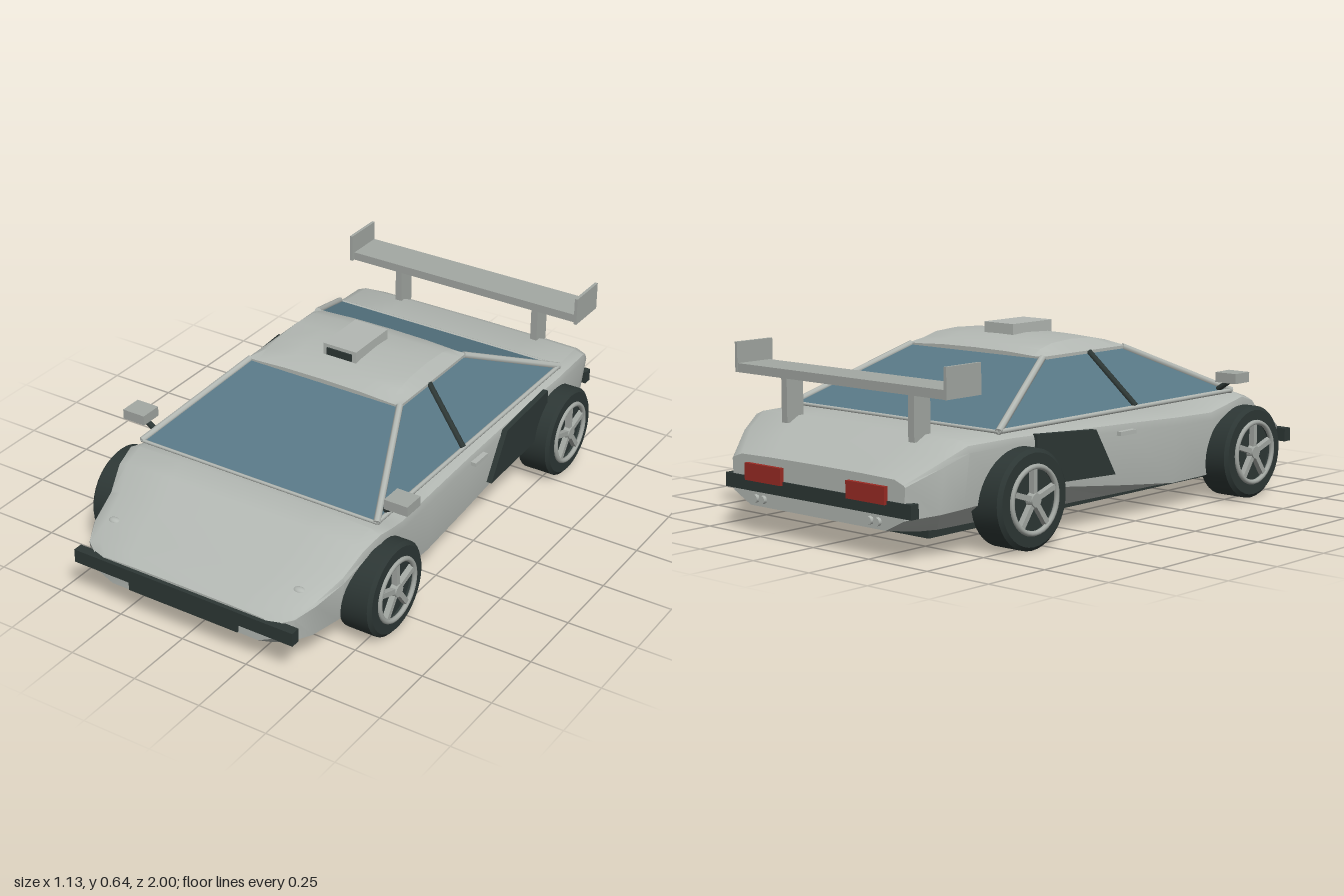
import * as THREE from 'three';
import { toCreasedNormals } from 'three/addons/utils/BufferGeometryUtils.js';
import { ConvexGeometry } from 'three/addons/geometries/ConvexGeometry.js';

const material = (name, color) => {
  const m = new THREE.MeshStandardMaterial({ color });
  m.name = name;
  return m;
};
const V = (x, y, z) => new THREE.Vector3(x, y, z);

// Closed skin over half cross-sections [[x, y]...] (bottom centre to top centre), front to back
function loft(sections) {
  const pos = [];
  const rings = sections.map(({ z, half }) => [
    ...half.map(([x, y]) => [x, y, z]),
    ...half.slice(1, -1).reverse().map(([x, y]) => [-x, y, z]),
  ]);
  const n = rings[0].length;
  for (let i = 0; i < rings.length - 1; i++) {
    for (let j = 0; j < n; j++) {
      const k = (j + 1) % n;
      const a = rings[i][j], b = rings[i][k], c = rings[i + 1][j], d = rings[i + 1][k];
      pos.push(...a, ...c, ...b, ...b, ...c, ...d);
    }
  }
  const cap = (ring, back) => {
    const mid = [0, (ring[0][1] + ring[n / 2][1]) / 2, ring[0][2]];
    for (let j = 0; j < n; j++) {
      const a = ring[j], b = ring[(j + 1) % n];
      pos.push(...mid, ...(back ? b : a), ...(back ? a : b));
    }
  };
  cap(rings[0], false);
  cap(rings[rings.length - 1], true);
  const g = new THREE.BufferGeometry();
  g.setAttribute('position', new THREE.Float32BufferAttribute(pos, 3));
  return toCreasedNormals(g, 0.6);
}

export function createModel() {
  const car = new THREE.Group();
  car.name = 'car';
  const paint = material('silverPaint', 0xb3b8b3);
  const trim = material('greyTrim', 0xa3a8a3);
  const glass = material('tintedGlass', 0x587886);
  const black = material('blackTrim', 0x2d3735);
  const red = material('tailRed', 0x9a2b24);

  const add = (name, geometry, mat, parent = car) => {
    const m = new THREE.Mesh(geometry, mat);
    m.name = name;
    parent.add(m);
    return m;
  };
  // Box given by its minimum and maximum corners
  const box = (name, mat, [x0, y0, z0], [x1, y1, z1], parent) => {
    const m = add(name, new THREE.BoxGeometry(x1 - x0, y1 - y0, z1 - z0), mat, parent);
    m.position.set((x0 + x1) / 2, (y0 + y1) / 2, (z0 + z1) / 2);
    return m;
  };
  // Round bar between two points
  const bar = (name, mat, a, b, r) => {
    const m = add(name, new THREE.CylinderGeometry(r, r, a.distanceTo(b), 8), mat);
    m.position.copy(a).lerp(b, 0.5);
    m.quaternion.setFromUnitVectors(V(0, 1, 0), b.clone().sub(a).normalize());
    return m;
  };
  const blob = (name, mat, p, r) => {
    const m = add(name, new THREE.SphereGeometry(1, 16, 10), mat);
    m.position.set(...p);
    m.scale.set(...r);
  };

  // Body: z, top, crease height, bottom, then half widths of top, shoulder, crease, bottom
  const stations = [
    [0.985, 0.195, 0.13, 0.10, 0.31, 0.35, 0.35, 0.29],
    [0.95, 0.218, 0.12, 0.083, 0.36, 0.405, 0.40, 0.32],
    [0.88, 0.25, 0.11, 0.074, 0.39, 0.44, 0.425, 0.33],
    [0.76, 0.287, 0.10, 0.072, 0.42, 0.467, 0.44, 0.34],
    [0.68, 0.348, 0.10, 0.072, 0.45, 0.49, 0.445, 0.35],
    [0.60, 0.371, 0.10, 0.072, 0.46, 0.503, 0.45, 0.36],
    [0.52, 0.352, 0.095, 0.072, 0.46, 0.498, 0.455, 0.37],
    [0.44, 0.331, 0.09, 0.072, 0.45, 0.487, 0.46, 0.38],
    [0.25, 0.335, 0.09, 0.072, 0.45, 0.482, 0.465, 0.39],
    [0.00, 0.346, 0.118, 0.072, 0.45, 0.482, 0.468, 0.38],
    [-0.38, 0.362, 0.165, 0.072, 0.455, 0.487, 0.47, 0.36],
    [-0.60, 0.372, 0.165, 0.072, 0.46, 0.497, 0.475, 0.35],
    [-0.80, 0.371, 0.155, 0.075, 0.45, 0.49, 0.465, 0.35],
    [-0.88, 0.33, 0.145, 0.08, 0.42, 0.46, 0.44, 0.34],
    [-0.985, 0.262, 0.135, 0.095, 0.35, 0.395, 0.39, 0.31],
  ];
  add('body', loft(stations.map(([z, top, crease, bottom, wt, ws, wc, wb]) => ({
    z,
    half: [
      [0, bottom], [wb, bottom], [wc, crease],
      [ws, crease + (top - crease) * 0.82], [ws - 0.006, top - 0.017],
      [wt, top - 0.003], [wt * 0.6, top], [0, top + 0.001],
    ],
  }))), paint);
  box('floorPan', black, [-0.342, 0.05, -0.83], [0.342, 0.08, 0.85]);

  // Cabin: glass block, pillars and sills
  const base = { f: [0.468, 0.377, 0.575], r: [0.468, 0.377, -0.645] };
  const top = { f: [0.3, 0.556, 0.17], r: [0.3, 0.556, -0.245] };
  const corner = ([x, y, z], s) => V(x * s, y, z);
  const corners = [];
  for (const s of [-1, 1]) {
    for (const p of [base.f, base.r, top.f, top.r]) corners.push(corner(p, s));
    bar('frontPillar', paint, corner(base.f, s), corner(top.f, s), 0.012);
    bar('rearPillar', paint, corner(base.r, s), corner(top.r, s), 0.012);
    bar('sideSill', paint, corner(base.f, s), corner(base.r, s), 0.008);
    bar('doorPillar', black, V(0.468 * s, 0.382, 0.035), V(0.302 * s, 0.556, -0.012), 0.011);
  }
  add('windows', new ConvexGeometry(corners), glass);
  for (const p of [base.f, base.r]) bar('endSill', paint, corner(p, -1), corner(p, 1), 0.006);

  // Crowned roof with scoop
  const roof = [[0.178, 0.566], [0.12, 0.588], [0.05, 0.601], [-0.06, 0.606], [-0.16, 0.6], [-0.22, 0.584], [-0.252, 0.566]];
  add('roof', loft(roof.map(([z, y]) => ({
    z,
    half: [[0, 0.548], [0.306, 0.548], [0.306, 0.56], [0.265, y - 0.006], [0.15, y], [0, y + 0.002]],
  }))), paint);
  box('roofScoop', paint, [-0.066, 0.59, -0.128], [0.066, 0.64, 0.072]);
  box('scoopIntake', black, [-0.05, 0.602, 0.07], [0.05, 0.628, 0.077]);

  // Bumpers
  box('frontBumper', black, [-0.43, 0.14, 0.965], [0.43, 0.188, 1.0]);
  box('frontGrille', black, [-0.215, 0.105, 0.95], [0.215, 0.145, 0.993]);
  box('rearBumper', black, [-0.425, 0.143, -0.99], [0.425, 0.19, -0.957]);

  // Rear wing
  box('wingPlate', trim, [-0.475, 0.505, -0.89], [0.475, 0.535, -0.75]);

  const panel = new THREE.Shape([[0.11, 0.174], [0.21, 0.335], [0.5, 0.355], [0.5, 0.19]]
    .map(([x, y]) => new THREE.Vector2(x, y)));

  for (const s of [-1, 1]) {
    const sideBox = (name, mat, [x0, y0, z0], [x1, y1, z1]) =>
      box(name, mat, [s > 0 ? x0 : -x1, y0, z0], [s > 0 ? x1 : -x0, y1, z1]);
    sideBox('wingEndPlate', trim, [0.47, 0.505, -0.892], [0.481, 0.606, -0.737]);
    sideBox('wingSupport', trim, [0.277, 0.35, -0.85], [0.303, 0.51, -0.778]);
    sideBox('tailLight', red, [0.15, 0.178, -1.0], [0.32, 0.235, -0.98]);
    sideBox('mirror', trim, [0.477, 0.418, 0.468], [0.564, 0.453, 0.548]);
    bar('mirrorStalk', black, V(0.455 * s, 0.385, 0.51), V(0.515 * s, 0.425, 0.51), 0.01);
    sideBox('doorHandle', paint, [0.475, 0.297, -0.08], [0.501, 0.311, 0.0]);

    // Side air intake panel
    const intake = add('sideIntake', new THREE.ExtrudeGeometry(panel, { depth: 0.02, bevelEnabled: false }), black);
    intake.rotation.y = Math.PI / 2;
    intake.position.x = s > 0 ? 0.483 : -0.503;

    // Small lamps and exhaust tips
    blob('hoodLamp', paint, [0.366 * s, 0.246, 0.862], [0.024, 0.012, 0.016]);
    blob('indicator', paint, [0.378 * s, 0.123, 0.947], [0.015, 0.022, 0.015]);
    for (const x of [0.245, 0.28]) {
      bar('exhaust', paint, V(x * s, 0.12, -0.95), V(x * s, 0.12, -0.997), 0.014);
    }

    // Wheels: tyre, rim ring, five spokes and hub, with the axle along x
    for (const z of [0.593, -0.577]) {
      const wheel = new THREE.Group();
      wheel.name = 'wheel';
      wheel.position.set(0.4925 * s, 0.163, z);
      wheel.rotation.y = s * Math.PI / 2;
      car.add(wheel);
      const profile = [[0, -0.065], [0.15, -0.065], [0.163, -0.054], [0.163, 0.054], [0.15, 0.065],
        [0.112, 0.065], [0.104, 0.05], [0, 0.05]].map(([r, y]) => new THREE.Vector2(r, y));
      const tyre = new THREE.LatheGeometry(profile, 36);
      tyre.rotateX(Math.PI / 2);
      add('tyre', toCreasedNormals(tyre, 0.5), black, wheel);
      add('rimRing', new THREE.TorusGeometry(0.106, 0.009, 8, 36), trim, wheel).position.z = 0.066;
      const hub = add('hub', new THREE.CylinderGeometry(0.022, 0.026, 0.03, 16), trim, wheel);
      hub.rotation.x = Math.PI / 2;
      hub.position.z = 0.06;
      for (let i = 0; i < 5; i++) {
        const spoke = new THREE.BoxGeometry(0.018, 0.1, 0.02);
        spoke.translate(0, 0.055, 0.06);
        spoke.rotateZ(i * Math.PI * 0.4);
        add('spoke', spoke, trim, wheel);
      }
    }
  }
  return car;
}
